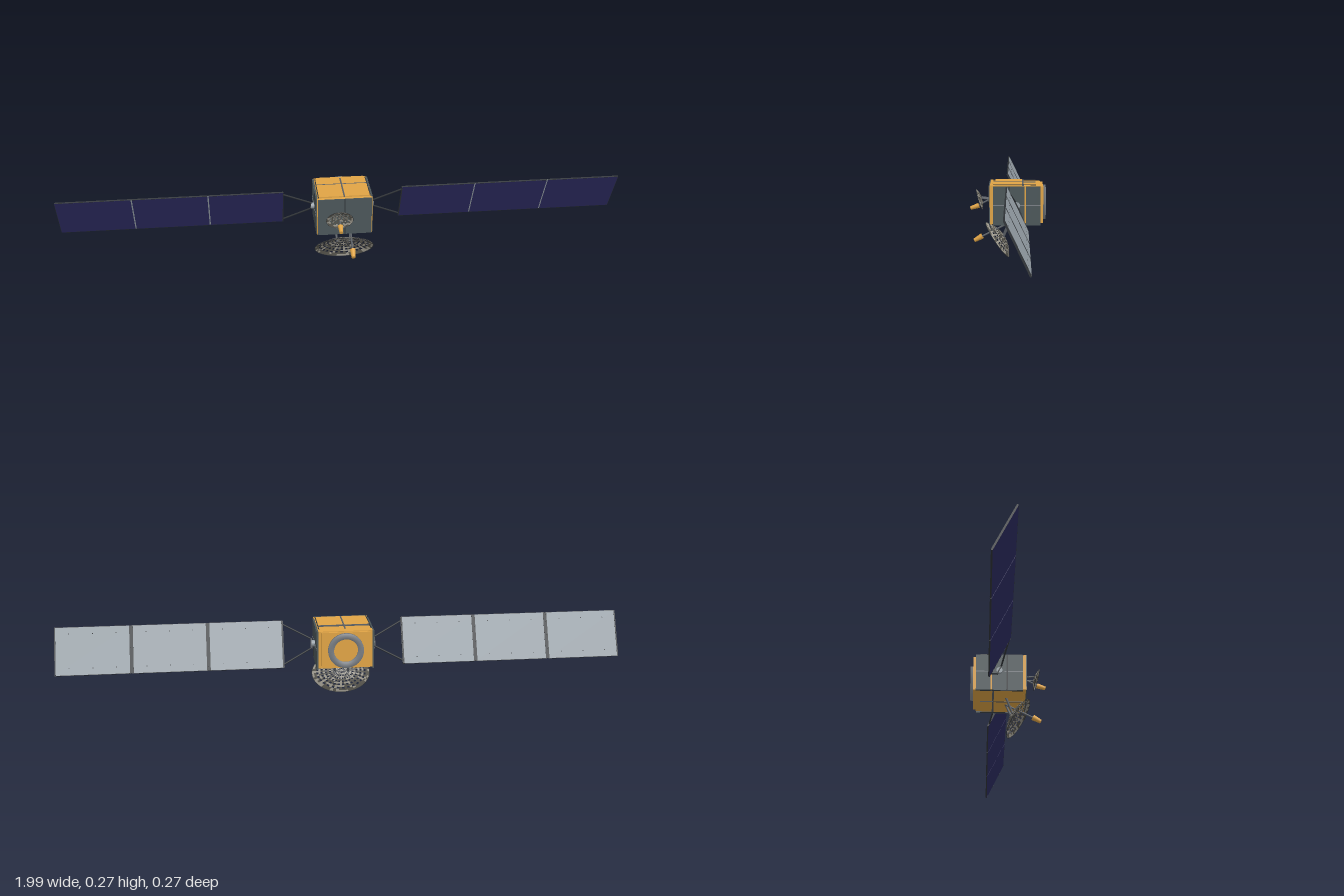
import * as THREE from 'three';

const mat = (name, color, side = THREE.FrontSide) => {
  const m = new THREE.MeshStandardMaterial({ color, side });
  m.name = name;
  return m;
};
const V = (x, y, z) => new THREE.Vector3(x, y, z);
const UP = V(0, 1, 0);

export function createModel() {
  const root = new THREE.Group();
  root.name = 'satellite';
  const gold = mat('gold foil', 0xe0a445);
  const slate = mat('slate panel', 0x4b5659);
  const dark = mat('dark frame', 0x303438);
  const strutGrey = mat('strut grey', 0x5a5f65);
  const ringGrey = mat('ring grey', 0x7b8086);
  const lightGrey = mat('light grey', 0x969fa6);
  const navy = mat('solar cell navy', 0x2c2b60);
  const meshDark = mat('dish mesh dark', 0x55534b, THREE.DoubleSide);
  const meshLight = mat('dish mesh light', 0x9a968b, THREE.DoubleSide);

  const add = (parent, name, geo, m, x = 0, y = 0, z = 0) => {
    const mesh = new THREE.Mesh(geo, m);
    mesh.name = name;
    mesh.position.set(x, y, z);
    parent.add(mesh);
    return mesh;
  };
  const box = (parent, name, m, w, h, d, x, y, z) =>
    add(parent, name, new THREE.BoxGeometry(w, h, d), m, x, y, z);
  // Tapered rod from point a to point b
  const rod = (parent, name, m, a, b, r0, r1 = r0, sides = 10) => {
    const mid = a.clone().add(b).multiplyScalar(0.5);
    const mesh = add(parent, name, new THREE.CylinderGeometry(r1, r0, a.distanceTo(b), sides), m, mid.x, mid.y, mid.z);
    mesh.quaternion.setFromUnitVectors(UP, b.clone().sub(a).normalize());
    return mesh;
  };

  // Bus: foil core, front panel, rear slab
  const bus = new THREE.Group();
  bus.name = 'bus';
  root.add(bus);
  box(bus, 'foilCore', gold, 0.188, 0.133, 0.176, 0, 0.2, -0.028);
  box(bus, 'foilFrontFrame', gold, 0.194, 0.137, 0.009, 0, 0.2, 0.057);
  box(bus, 'frontPanel', slate, 0.189, 0.137, 0.004, 0, 0.2, 0.063);
  box(bus, 'frontSeam', dark, 0.003, 0.137, 0.001, 0, 0.2, 0.0652);
  box(bus, 'rearSlab', gold, 0.17, 0.128, 0.01, 0, 0.2, -0.12);

  // Side panels with seams and array hubs
  for (const s of [-1, 1]) {
    box(bus, 'sidePanelFront', slate, 0.006, 0.137, 0.109, s * 0.097, 0.197, -0.0045);
    box(bus, 'sidePanelRear', slate, 0.006, 0.137, 0.051, s * 0.097, 0.197, -0.0895);
    box(bus, 'sideSeamUpright', dark, 0.002, 0.137, 0.004, s * 0.1002, 0.197, -0.005);
    for (const [d, z] of [[0.109, -0.0045], [0.051, -0.0895]])
      box(bus, 'sideSeamLevel', ringGrey, 0.002, 0.003, d, s * 0.1002, 0.2, z);
    rod(bus, 'arrayHub', lightGrey, V(s * 0.095, 0.2, -0.033), V(s * 0.112, 0.2, -0.033), 0.011, 0.011, 20);
  }

  // Foil decks and straps on the top and underside
  for (const s of [-1, 1]) {
    const y = 0.2 + s * 0.0685;
    box(bus, 'foilDeck', gold, 0.18, 0.005, 0.096, 0, y, -0.003);
    box(bus, 'deckCrossStrap', strutGrey, 0.18, 0.004, 0.006, 0, y, -0.054);
    box(bus, 'deckLongStrap', strutGrey, 0.005, 0.002, 0.15, 0, y + s * 0.0025, -0.025);
    for (const x of [-0.091, 0.091])
      box(bus, 'deckEdgeRail', dark, 0.003, 0.002, 0.15, x, y + s * 0.002, -0.025);
  }

  // Rear docking ring
  const ringProfile = [[0.042, 0], [0.062, 0], [0.062, 0.011], [0.042, 0.011], [0.042, 0]]
    .map(([r, h]) => new THREE.Vector2(r, h));
  const ring = add(bus, 'rearRing', new THREE.LatheGeometry(ringProfile, 40), ringGrey, 0, 0.2, -0.124);
  ring.rotation.x = -Math.PI / 2;

  // Solar wings, tilted about their long axis
  for (const s of [-1, 1]) {
    const wing = new THREE.Group();
    wing.name = s > 0 ? 'leftSolarWing' : 'rightSolarWing';
    wing.position.set(0, 0.2, -0.0335);
    wing.rotation.x = 0.45;
    root.add(wing);
    for (let i = 0; i < 3; i++) {
      const x = s * (0.3405 + i * 0.2635);
      box(wing, 'panelCells', navy, 0.259, 0.166, 0.002, x, 0, 0.0012);
      box(wing, 'panelBack', lightGrey, 0.259, 0.166, 0.003, x, 0, -0.0015);
      for (const e of [-1, 1]) {
        box(wing, 'panelEdge', dark, 0.259, 0.0015, 0.005, x, e * 0.0835, -0.0004);
        box(wing, 'panelEndFrame', dark, 0.004, 0.166, 0.0015, x + e * 0.1275, 0, -0.0031);
      }
      for (const dx of [-0.08, 0, 0.08])
        for (const dy of [-0.06, 0.06])
          box(wing, 'panelStud', dark, 0.003, 0.003, 0.001, x + dx, dy, -0.0033);
      // Joint to the next panel: pale in front, dark behind
      if (i < 2) {
        box(wing, 'jointFront', lightGrey, 0.0045, 0.166, 0.001, x + s * 0.13175, 0, 0.0005);
        box(wing, 'jointBack', dark, 0.0045, 0.166, 0.0035, x + s * 0.13175, 0, -0.0019);
      }
    }
    box(wing, 'wingTipCap', dark, 0.001, 0.167, 0.0054, s * 0.9968, 0, -0.0004);
    // Yoke
    for (const e of [-1, 1])
      rod(wing, 'yokeArm', dark, V(s * 0.111, e * 0.016, 0), V(s * 0.213, e * 0.072, 0), 0.003);
    box(wing, 'yokeCrossbar', dark, 0.006, 0.038, 0.004, s * 0.112, 0, 0);
    box(wing, 'yokeEndBar', dark, 0.003, 0.166, 0.005, s * 0.2105, 0, 0);
  }

  // Open mesh reflector: shallow elliptical bowl of small plates with gaps
  const dish = (name, rx, ry, depth, center, normal, rings, segs) => {
    const g = new THREE.Group();
    g.name = name;
    const pts = [];
    for (let i = 0; i <= rings; i++) pts.push(new THREE.Vector2(i / rings, depth * (i / rings) ** 2));
    const bowl = new THREE.LatheGeometry(pts, segs);
    const parts = [[], []];
    const idx = bowl.index.array;
    let seed = 7;
    for (let i = 0; i < idx.length; i += 6) {
      const cell = i / 6, row = cell % rings, col = Math.floor(cell / rings);
      seed = (seed * 16807) % 2147483647;
      if (row % 2 && col % 2 && row < rings - 1) continue;
      parts[seed % 100 < 50 ? 0 : 1].push(...idx.slice(i, i + 6));
    }
    parts.forEach((p, k) => {
      const geo = bowl.clone();
      geo.setIndex(p);
      add(g, 'reflectorMesh', geo, k ? meshLight : meshDark).scale.set(rx, 1, ry);
    });
    const rim = add(g, 'reflectorRim', new THREE.TorusGeometry(1, 0.012, 6, 56), dark, 0, depth, 0);
    rim.rotation.x = Math.PI / 2;
    rim.scale.set(rx, ry, 0.08);
    normal.normalize();
    g.quaternion.setFromUnitVectors(UP, normal);
    g.position.copy(center).addScaledVector(normal, -depth);
    root.add(g);
  };
  dish('largeDish', 0.105, 0.073, 0.028, V(0, 0.063, 0.0365), V(0, -0.57, 0.82), 14, 56);
  dish('smallDish', 0.047, 0.038, 0.011, V(-0.022, 0.206, 0.102), V(0, -0.28, 0.96), 8, 32);

  // Large dish mounts and feed
  for (const s of [-1, 1])
    rod(root, 'largeDishStrut', strutGrey, V(s * 0.03, 0.132, -0.008), V(s * 0.022, 0.075, 0.015), 0.004);
  rod(root, 'largeFeedBoom', strutGrey, V(0.025, 0.13, -0.01), V(0.025, 0.079, 0.091), 0.0035);
  rod(root, 'largeFeedHorn', gold, V(0.025, 0.08, 0.09), V(0.025, 0.064, 0.118), 0.0105, 0.007, 16);

  // Small dish mounts and feed
  for (const x of [-0.038, -0.006])
    rod(root, 'smallDishStrut', strutGrey, V(x, 0.208, 0.06), V(x, 0.212, 0.093), 0.003);
  rod(root, 'smallFeedBoom', strutGrey, V(-0.02, 0.207, 0.062), V(-0.02, 0.186, 0.103), 0.003);
  rod(root, 'smallFeedHorn', gold, V(-0.02, 0.184, 0.103), V(-0.02, 0.174, 0.133), 0.0095, 0.0065, 16);

  return root;
}
